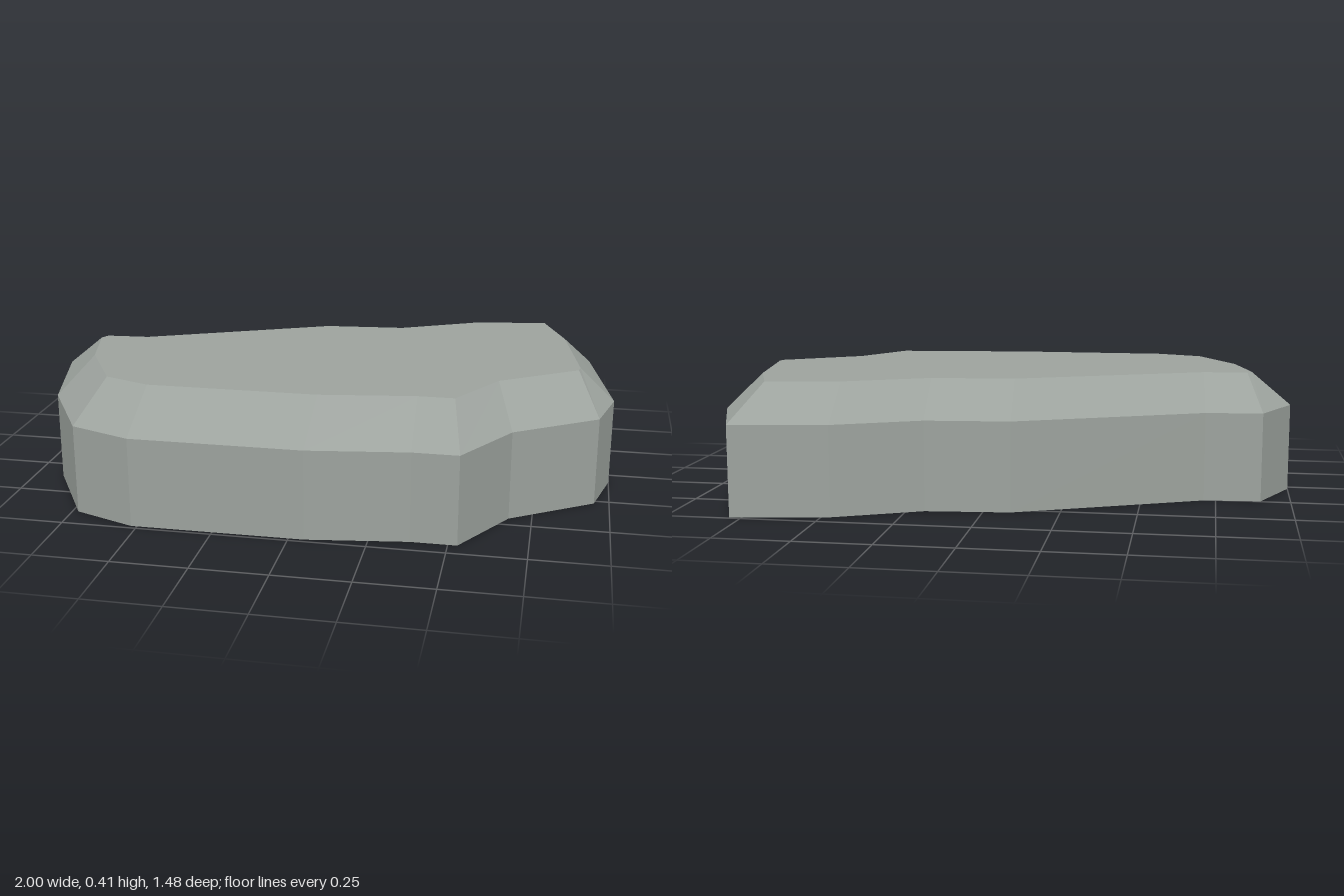
import * as THREE from 'three';

// Outline corners, counter-clockwise seen from above: outer x, z, then top-rim x, z
const OUTLINE = [
  [-1, -0.03, -0.865, 0], [-0.9, 0.36, -0.81, 0.22], [-0.73, 0.655, -0.68, 0.455],
  [-0.52, 0.735, -0.52, 0.515], [0.05, 0.735, 0.05, 0.515], [0.38, 0.69, 0.37, 0.47],
  [0.53, 0.69, 0.49, 0.47], [0.675, 0.45, 0.615, 0.26], [0.95, 0.27, 0.875, 0.09],
  [1, 0.07, 0.88, 0.06], [0.915, -0.4, 0.82, -0.3], [0.79, -0.74, 0.74, -0.51],
  [0.47, -0.69, 0.49, -0.475], [0.19, -0.56, 0.21, -0.34], [-0.09, -0.535, -0.07, -0.315],
  [-0.71, -0.26, -0.7, -0.04], [-0.9, -0.245, -0.85, -0.03],
];
const SHOULDER = 0.3, TOP = 0.41;

const ringAt = (y, offset) => OUTLINE.map((p) => new THREE.Vector3(p[offset], y, p[offset + 1]));

function facets(triangles) {
  const geometry = new THREE.BufferGeometry().setFromPoints(triangles);
  geometry.computeVertexNormals();
  return geometry;
}

// Band of faces joining two rings
function band(lower, upper) {
  const out = [];
  lower.forEach((a, i) => {
    const j = (i + 1) % lower.length;
    out.push(a, lower[j], upper[j], a, upper[j], upper[i]);
  });
  return facets(out);
}

// Flat face filling a ring
function cap(ring, facesUp) {
  const contour = ring.map((p) => new THREE.Vector2(p.x, -p.z));
  const out = [];
  for (const [a, b, c] of THREE.ShapeUtils.triangulateShape(contour, [])) {
    out.push(ring[a], ring[facesUp ? b : c], ring[facesUp ? c : b]);
  }
  return facets(out);
}

export function createModel() {
  const group = new THREE.Group();
  group.name = 'flatRock';
  const stone = new THREE.MeshStandardMaterial({ color: 0x9ca29d, flatShading: true });
  stone.name = 'grey stone';

  const base = ringAt(0, 0), shoulder = ringAt(SHOULDER, 0), rim = ringAt(TOP, 2);
  const add = (name, geometry) => {
    const mesh = new THREE.Mesh(geometry, stone);
    mesh.name = name;
    group.add(mesh);
  };
  add('sideWall', band(base, shoulder));
  add('slopedEdge', band(shoulder, rim));
  add('topFace', cap(rim, true));
  add('underside', cap(base, false));
  return group;
}
